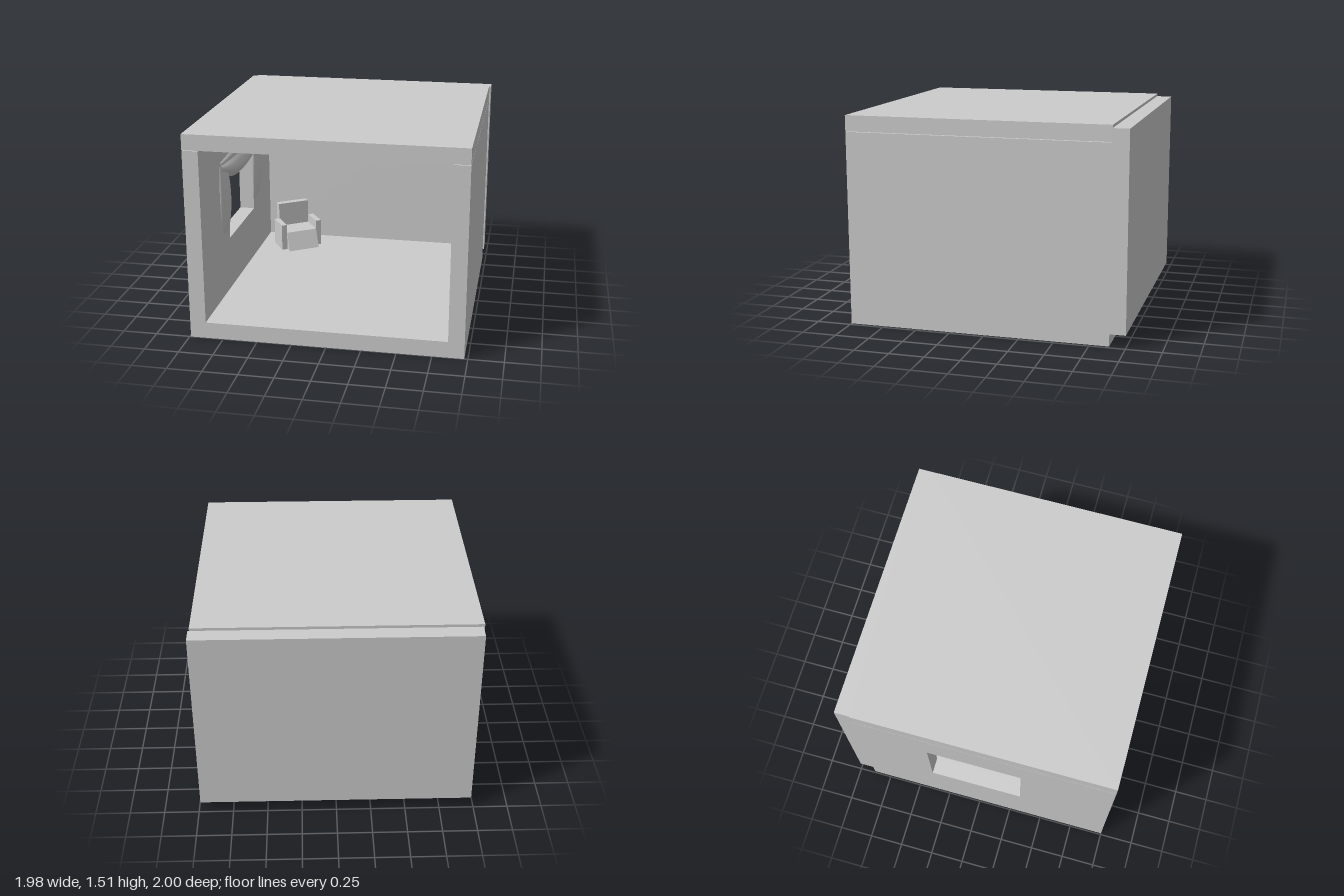
import * as THREE from 'three';

const grey = new THREE.MeshStandardMaterial({ color: 0xcccccc });
const greyDouble = new THREE.MeshStandardMaterial({ color: 0xcccccc, side: THREE.DoubleSide });

function add(parent, name, geometry, material = grey) {
  const mesh = new THREE.Mesh(geometry, material);
  mesh.name = name;
  parent.add(mesh);
  return mesh;
}

// Box given by its lower and upper corners
function box(parent, name, [x0, y0, z0], [x1, y1, z1]) {
  const mesh = add(parent, name, new THREE.BoxGeometry(x1 - x0, y1 - y0, z1 - z0));
  mesh.position.set((x0 + x1) / 2, (y0 + y1) / 2, (z0 + z1) / 2);
  return mesh;
}

// Smooth sheet whose points follow a rule point(u, v), u and v from 0 to 1
function sheet(parent, name, nu, nv, point) {
  const geometry = new THREE.PlaneGeometry(1, 1, nu, nv);
  const pos = geometry.attributes.position;
  for (let i = 0; i < pos.count; i++) {
    pos.setXYZ(i, ...point(pos.getX(i) + 0.5, pos.getY(i) + 0.5));
  }
  geometry.computeVertexNormals();
  return add(parent, name, geometry, greyDouble);
}

function createShell(root) {
  box(root, 'floor', [-0.99, 0, -0.885], [0.975, 0.12, 1]);
  box(root, 'roof', [-0.99, 1.397, -0.885], [0.975, 1.51, 1]);
  box(root, 'backWall', [-0.98, 0.09, -1], [0.985, 1.49, -0.885]);
  box(root, 'leftWall', [0.86, 0.12, -0.885], [0.975, 1.393, 1]);

  // Right wall with a window opening; shape x maps to -z
  const wall = new THREE.Shape();
  wall.moveTo(-1, 0.12).lineTo(0.885, 0.12).lineTo(0.885, 1.393).lineTo(-1, 1.393).closePath();
  const hole = new THREE.Path();
  hole.moveTo(-0.33, 0.52).lineTo(-0.33, 1.11).lineTo(0.36, 1.11).lineTo(0.36, 0.52).closePath();
  wall.holes.push(hole);
  const geometry = new THREE.ExtrudeGeometry(wall, { depth: 0.115, bevelEnabled: false });
  geometry.rotateY(Math.PI / 2);
  add(root, 'windowWall', geometry).position.x = -0.99;
}

function createCurtains(root) {
  const curtains = new THREE.Group();
  curtains.name = 'curtains';
  curtains.position.set(-0.876, 0, -0.015);
  root.add(curtains);

  // Side panels: half-round sections swelling between tapered ends
  for (const side of [1, -1]) {
    sheet(curtains, 'curtainPanel', 24, 24, (u, v) => {
      const a = Math.PI * u;
      const swell = Math.sin(Math.PI * (0.04 + 0.92 * v)) ** 0.6;
      const half = 0.06 + 0.05 * swell;
      const centre = 0.45 + 0.02 * (v - 0.5);
      return [0.042 * swell * Math.sin(a), 0.61 + 0.53 * v, side * (centre - half * Math.cos(a))];
    });
  }

  // Swag drooping across the top, with a gathered upper edge
  sheet(curtains, 'curtainSwag', 40, 24, (u, v) => {
    const t = 2 * u - 1;
    const bottom = 0.95 + 0.14 * t * t;
    const top = 1.185 - 0.02 * t * t;
    const main = 0.055 * Math.sin(Math.PI * Math.min(v / 0.8, 1));
    const gather = v > 0.72 ? 0.022 * Math.sin(Math.PI * (v - 0.72) / 0.28) : 0;
    const depth = Math.max(main, gather) * (1 - 0.6 * t ** 4);
    return [depth, bottom + (top - bottom) * v, 0.53 * t];
  });
}

function createArmchair(root) {
  const chair = new THREE.Group();
  chair.name = 'armchair';
  chair.position.set(-0.578, 0.12, -0.655);
  chair.rotation.y = 0.585;
  root.add(chair);

  box(chair, 'chairBack', [-0.13, 0, -0.152], [0.13, 0.34, -0.097]);
  box(chair, 'armRight', [-0.175, 0, -0.09], [-0.13, 0.215, 0.09]);
  box(chair, 'armLeft', [0.13, 0, -0.09], [0.175, 0.215, 0.09]);

  // Seat with a front face sloping out to the floor
  const profile = new THREE.Shape();
  profile.moveTo(-0.15, 0).lineTo(0.097, 0).lineTo(0.097, 0.145).lineTo(-0.09, 0.145).closePath();
  const seat = new THREE.ExtrudeGeometry(profile, { depth: 0.26, bevelEnabled: false });
  seat.rotateY(Math.PI / 2);
  add(chair, 'seat', seat).position.x = -0.13;
}

function createLamp(root) {
  const lamp = new THREE.Group();
  lamp.name = 'ceilingLamp';
  lamp.position.set(0.013, 0, 0.07);
  root.add(lamp);
  const shade = add(lamp, 'lampShade', new THREE.CylinderGeometry(0.065, 0.2, 0.085, 48));
  shade.position.y = 1.3575;
  const bulb = add(lamp, 'bulb', new THREE.SphereGeometry(0.05, 32, 20));
  bulb.position.y = 1.303;
}

function createDoor(root) {
  const door = new THREE.Group();
  door.name = 'door';
  root.add(door);
  box(door, 'doorPanel', [0.835, 0.12, -0.15], [0.862, 0.63, 0.15]);
  const knob = add(door, 'doorKnob', new THREE.SphereGeometry(0.015, 20, 14));
  knob.position.set(0.818, 0.36, 0.11);
  const stem = add(door, 'knobStem', new THREE.CylinderGeometry(0.007, 0.007, 0.02, 16));
  stem.rotation.z = Math.PI / 2;
  stem.position.set(0.832, 0.36, 0.11);
}

export function createModel() {
  const root = new THREE.Group();
  root.name = 'room';
  createShell(root);
  createCurtains(root);
  createArmchair(root);
  createLamp(root);
  createDoor(root);
  return root;
}
